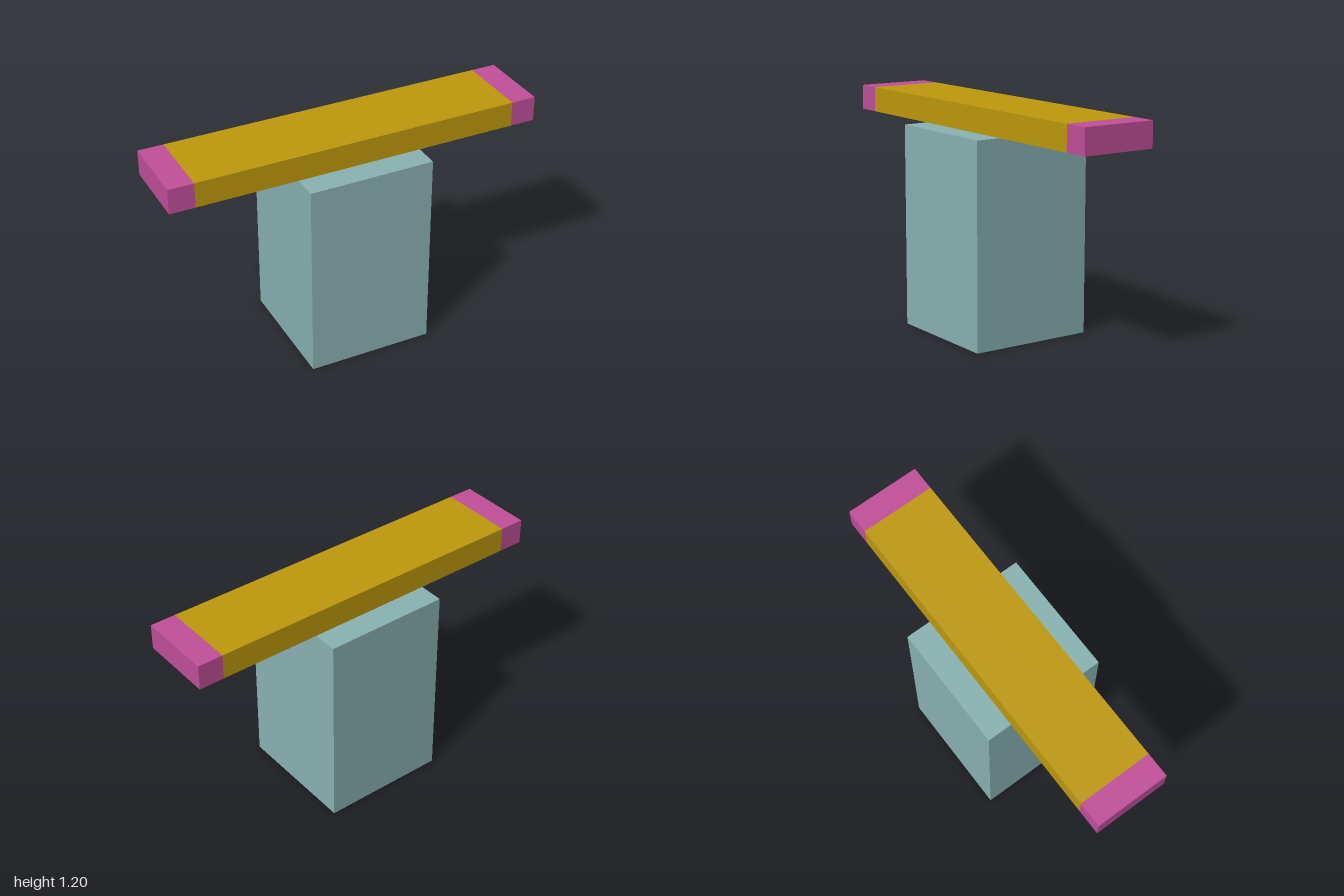
import * as THREE from 'three';

export function createModel() {
  const model = new THREE.Group();
  model.name = 'pedestalWithBeam';

  const material = (name, color) => {
    const m = new THREE.MeshStandardMaterial({ color });
    m.name = name;
    return m;
  };
  const teal = material('dusty teal', 0x8ab3b3);
  const gold = material('gold', 0xbf9a0c);
  const pink = material('pink', 0xc2509a);

  // Adds a named block resting at height y
  const block = (name, [w, h, d], x, y, mat) => {
    const mesh = new THREE.Mesh(new THREE.BoxGeometry(w, h, d), mat);
    mesh.name = name;
    mesh.position.set(x, y + h / 2, 0);
    model.add(mesh);
  };

  const unit = 2 / 15;
  const pedestalHeight = 8 * unit;

  // Square pedestal
  block('pedestal', [5 * unit, pedestalHeight, 5 * unit], 0, 0, teal);

  // Crossbeam with a coloured cap at each end
  block('crossbeam', [13 * unit, unit, 3 * unit], 0, pedestalHeight, gold);
  for (const [side, s] of [['left', 1], ['right', -1]]) {
    block(`${side}EndCap`, [unit, unit, 3 * unit], s * 7 * unit, pedestalHeight, pink);
  }

  return model;
}
